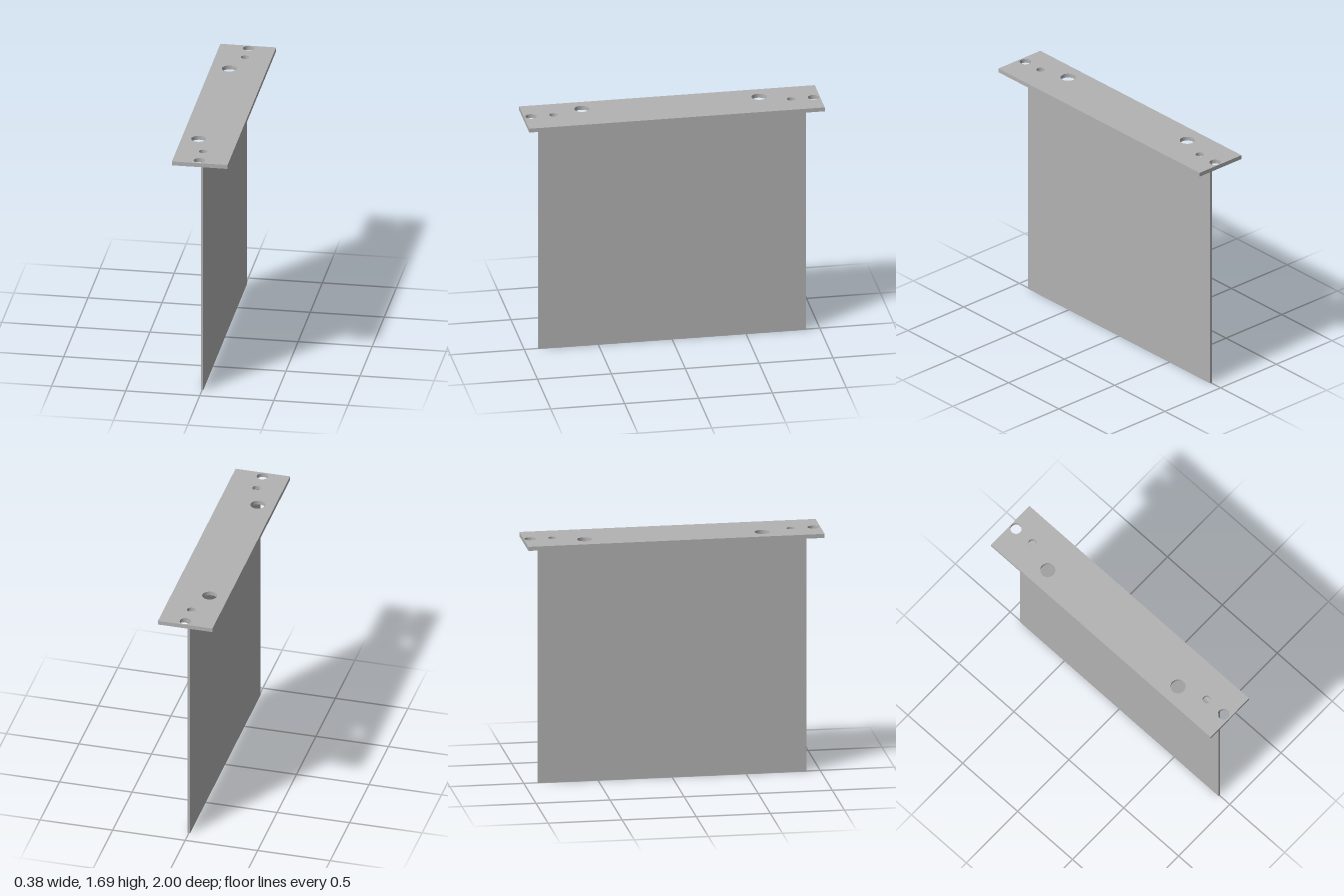
import * as THREE from 'three';

export function createModel() {
  const model = new THREE.Group();
  model.name = 'mountingBracket';
  const grey = new THREE.MeshStandardMaterial({ color: 0xb2b2b2 });
  grey.name = 'grey metal';

  // Drilled top plate: outline in x and -z, extruded upward
  const outline = new THREE.Shape();
  outline.moveTo(-0.188, -1);
  outline.lineTo(0.188, -1);
  outline.lineTo(0.188, 1);
  outline.lineTo(-0.188, 1);
  outline.closePath();
  // Holes as [x, z, radius]
  const holes = [
    [0.01, -0.956, 0.038], [0.01, -0.805, 0.028], [-0.062, -0.6, 0.05],
    [-0.073, 0.597, 0.05], [-0.01, 0.8, 0.028], [-0.01, 0.952, 0.038],
  ];
  for (const [x, z, r] of holes) {
    const hole = new THREE.Path();
    hole.absarc(x, -z, r, 0, Math.PI * 2, true);
    outline.holes.push(hole);
  }
  const plateGeometry = new THREE.ExtrudeGeometry(outline, {
    depth: 0.028, bevelEnabled: false, curveSegments: 32,
  });
  plateGeometry.rotateX(-Math.PI / 2);
  const plate = new THREE.Mesh(plateGeometry, grey);
  plate.name = 'topPlate';
  plate.position.y = 1.659;
  model.add(plate);

  // Folded sheet: tall web with a narrow flange under the plate
  const profile = new THREE.Shape();
  const points = [[-0.008, 0], [0.008, 0], [0.008, 1.643], [0.122, 1.643], [0.122, 1.659], [-0.008, 1.659]];
  profile.setFromPoints(points.map(([x, y]) => new THREE.Vector2(x, y)));
  const sheetGeometry = new THREE.ExtrudeGeometry(profile, { depth: 1.81, bevelEnabled: false });
  sheetGeometry.translate(0, 0, -0.905);
  const sheet = new THREE.Mesh(sheetGeometry, grey);
  sheet.name = 'foldedSheet';
  model.add(sheet);

  return model;
}
